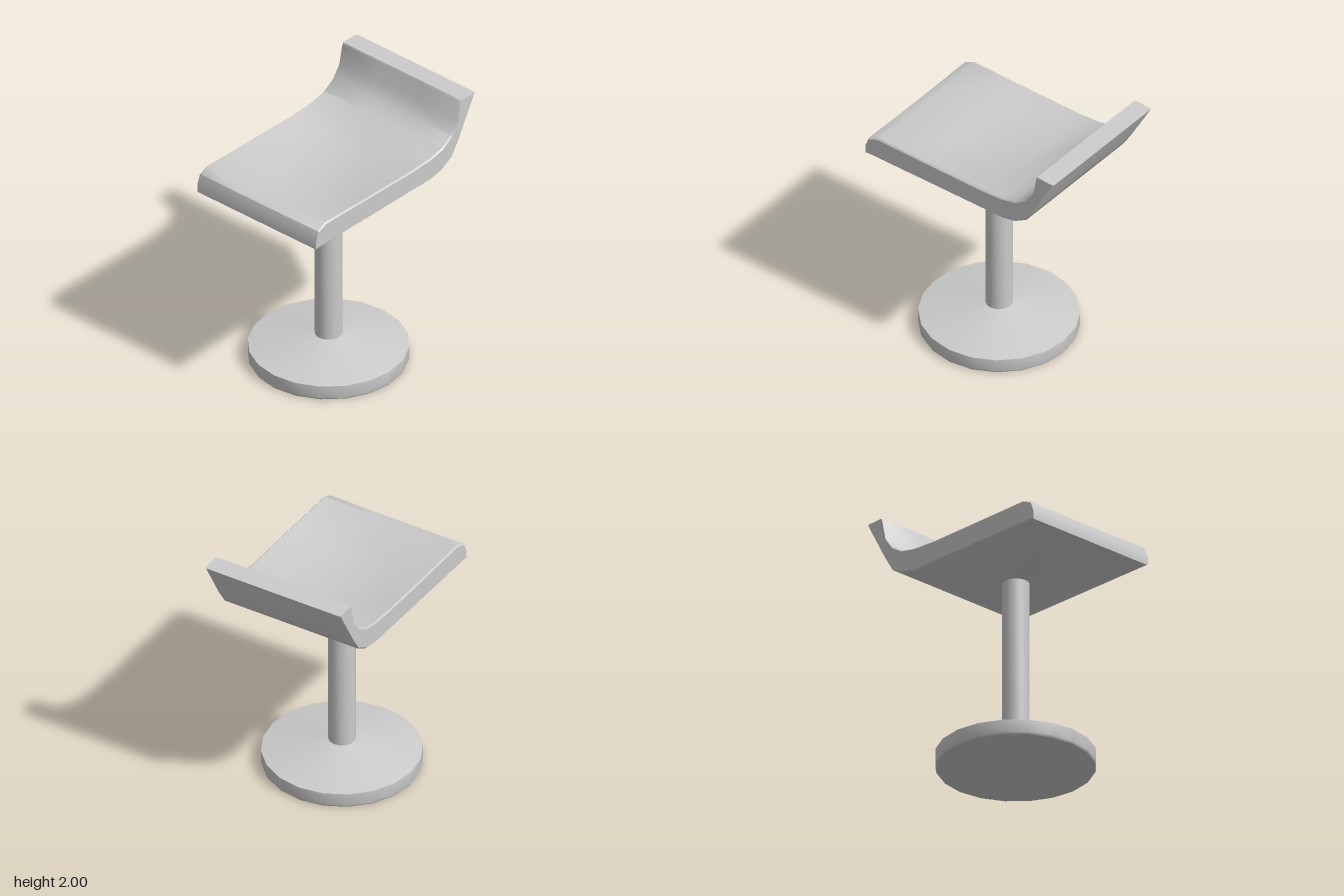
import * as THREE from 'three';
import { toCreasedNormals } from 'three/addons/utils/BufferGeometryUtils.js';

const grey = new THREE.MeshStandardMaterial({ color: 0xcccccc });

function addMesh(group, name, geometry, crease) {
  const mesh = new THREE.Mesh(toCreasedNormals(geometry, crease), grey);
  mesh.name = name;
  group.add(mesh);
  return mesh;
}

// Round part turned around the vertical axis from [radius, height] pairs
function turned(profile) {
  return new THREE.LatheGeometry(profile.map(([r, y]) => new THREE.Vector2(r, y)), 20);
}

// Seat stations, front lip to backrest edge: top z, top y, bottom z, bottom y, dish depth
const stations = [
  [0.835, 1.56, 0.835, 1.49, 0],
  [0.81, 1.63, 0.81, 1.49, 0.004],
  [0.73, 1.665, 0.73, 1.49, 0.016],
  [0.35, 1.66, 0.35, 1.49, 0.075],
  [-0.18, 1.655, -0.18, 1.49, 0.075],
  [-0.37, 1.665, -0.37, 1.49, 0.012],
  [-0.49, 1.69, -0.48, 1.51, 0],
  [-0.585, 1.75, -0.585, 1.57, 0],
  [-0.65, 1.84, -0.65, 1.67, 0],
  [-0.675, 1.98, -0.78, 1.9, 0],
  [-0.685, 2, -0.832, 1.995, 0],
];

// Columns across the seat, left to right; the outer pair forms the edge bevel
const columns = [0.557, 0.547, 0.2, -0.2, -0.547, -0.557];

function seatGeometry() {
  const n = columns.length, ringSize = 2 * n;
  const positions = [], index = [];
  const quad = (a, b, c, d) => index.push(a, b, c, a, c, d);

  // Each ring runs over the top and back along the underside
  for (const [tz, ty, bz, by, dish] of stations) {
    for (let j = 0; j < ringSize; j++) {
      const onTop = j < n;
      const x = columns[onTop ? j : ringSize - 1 - j];
      const drop = Math.abs(x) < 0.3 ? dish : 0;
      // Pull the outer edge slightly towards the middle of the thickness
      const k = Math.abs(x) > 0.55 ? 0.06 : 0;
      const t = onTop ? k : 1 - k;
      positions.push(x, ty + (by - ty) * t - drop, tz + (bz - tz) * t);
    }
  }
  const last = (stations.length - 1) * ringSize;
  for (let r = 0; r < last; r += ringSize) {
    for (let j = 0; j < ringSize; j++) {
      const k = (j + 1) % ringSize;
      quad(r + j, r + ringSize + j, r + ringSize + k, r + k);
    }
  }
  // Front lip face and top edge of the backrest
  for (let j = 0; j < n - 1; j++) {
    const m = ringSize - 1 - j;
    quad(j, j + 1, m - 1, m);
    quad(last + m, last + m - 1, last + j + 1, last + j);
  }
  const geometry = new THREE.BufferGeometry();
  geometry.setAttribute('position', new THREE.Float32BufferAttribute(positions, 3));
  geometry.setIndex(index);
  return geometry;
}

export function createModel() {
  const group = new THREE.Group();
  group.name = 'barStool';

  addMesh(group, 'seat', seatGeometry(), 0.75);

  // Pedestal: round foot with a shallow cone, and the column above it
  const pedestal = new THREE.Group();
  pedestal.name = 'pedestal';
  pedestal.position.z = 0.084;
  addMesh(pedestal, 'foot', turned([[0, 0], [0.56, 0], [0.567, 0.012], [0.567, 0.11], [0.097, 0.197]]), 0.6);
  addMesh(pedestal, 'column', turned([[0.097, 0.19], [0.097, 1.43], [0, 1.43]]), 0.6);
  group.add(pedestal);

  return group;
}
